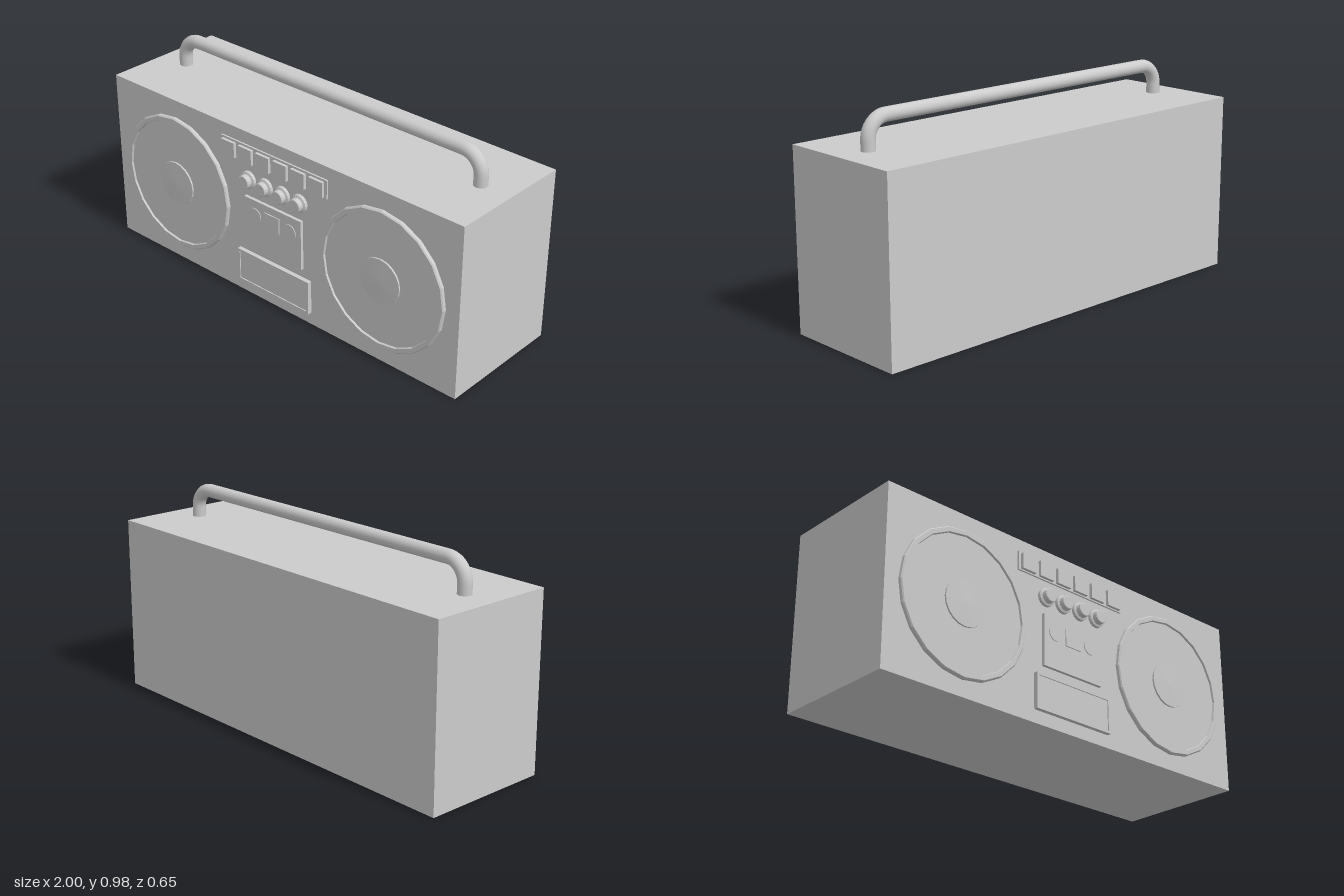
import * as THREE from 'three';

const FRONT = 0.283; // z of the cabinet's front face

export function createModel() {
  const model = new THREE.Group();
  const smooth = new THREE.MeshStandardMaterial({ color: 0xcccccc });
  const flat = new THREE.MeshStandardMaterial({ color: 0xcccccc, flatShading: true });

  const add = (name, geometry, x, y, z, material = flat, parent = model) => {
    const mesh = new THREE.Mesh(geometry, material);
    mesh.name = name;
    mesh.position.set(x, y, z);
    parent.add(mesh);
    return mesh;
  };

  // Box whose back is sunk into the cabinet and whose face stands at the given z
  const panel = (name, x, y, w, h, face) => {
    const depth = face - FRONT + 0.01;
    return add(name, new THREE.BoxGeometry(w, h, depth), x, y, face - depth / 2);
  };

  // Shape turned around the z axis from [radius, z] points
  const turned = (points, sides) =>
    new THREE.LatheGeometry(points.map(([r, z]) => new THREE.Vector2(r, -z)), sides)
      .rotateX(-Math.PI / 2);
  const turnedFlat = flat.clone();
  turnedFlat.side = THREE.DoubleSide;

  // Cabinet
  add('cabinet', new THREE.BoxGeometry(2, 0.815, 0.606), 0, 0.4075, -0.02);

  // Carrying handle: a round bar with two bent corners
  const P = (x, y) => new THREE.Vector3(x, y, 0);
  const legX = 0.85, topY = 0.95, bend = 0.09, k = 0.45 * bend;
  const path = new THREE.CurvePath();
  path.add(new THREE.LineCurve3(P(-legX, 0.8), P(-legX, topY - bend)));
  path.add(new THREE.CubicBezierCurve3(
    P(-legX, topY - bend), P(-legX, topY - k), P(-legX + k, topY), P(-legX + bend, topY)));
  path.add(new THREE.LineCurve3(P(-legX + bend, topY), P(legX - bend, topY)));
  path.add(new THREE.CubicBezierCurve3(
    P(legX - bend, topY), P(legX - k, topY), P(legX, topY - k), P(legX, topY - bend)));
  path.add(new THREE.LineCurve3(P(legX, topY - bend), P(legX, 0.8)));
  add('handle', new THREE.TubeGeometry(path, 140, 0.031, 16), 0, 0, -0.018, smooth);

  // Speakers: raised rim, shallow cone and centre cap
  for (const side of [-1, 1]) {
    const speaker = new THREE.Group();
    speaker.name = side > 0 ? 'leftSpeaker' : 'rightSpeaker';
    speaker.position.set(side * 0.603, 0.403, FRONT);
    model.add(speaker);
    add('speakerRim', turned([[0.33, -0.005], [0.33, 0.014], [0.325, 0.019],
      [0.306, 0.019], [0.303, 0.01]], 20), 0, 0, 0, turnedFlat, speaker);
    add('speakerCone', turned([[0.304, 0.01], [0.104, 0.01]], 20), 0, 0, 0, turnedFlat, speaker);
    add('speakerCap', turned([[0.105, 0.008], [0.105, 0.018], [0, 0.02]], 20),
      0, 0, 0, turnedFlat, speaker);
  }

  // Row of push buttons on a backing strip
  panel('buttonStrip', -0.001, 0.711, 0.615, 0.088, 0.291);
  for (let i = 0; i < 6; i++) panel('button', (i - 2.5) * 0.102 - 0.002, 0.709, 0.078, 0.072, 0.305);

  // Control knobs with a wider collar
  for (let i = 0; i < 4; i++) {
    add('knob', turned([[0.042, -0.005], [0.042, 0.014], [0.032, 0.018],
      [0.031, 0.039], [0.028, 0.041], [0, 0.041]], 16), (i - 1.5) * 0.1, 0.587, FRONT, turnedFlat);
  }

  // Cassette door with two reels and a small window
  panel('cassetteDoor', -0.002, 0.385, 0.335, 0.24, 0.298);
  panel('cassetteWindow', -0.003, 0.43, 0.088, 0.08, 0.303);
  for (const x of [-0.105, 0.1]) {
    add('cassetteReel', new THREE.CylinderGeometry(0.037, 0.037, 0.012, 16).rotateX(Math.PI / 2),
      x, 0.43, 0.296);
  }

  // Lower display: frame with an inset plate
  const rect = (shape, w, h) => shape.moveTo(-w, -h).lineTo(w, -h).lineTo(w, h).lineTo(-w, h).closePath();
  const frame = rect(new THREE.Shape(), 0.213, 0.081);
  frame.holes.push(rect(new THREE.Path(), 0.201, 0.07));
  add('displayFrame', new THREE.ExtrudeGeometry(frame, { depth: 0.025, bevelEnabled: false }),
    -0.002, 0.14, 0.278);
  panel('displayPlate', -0.002, 0.14, 0.404, 0.142, 0.298);

  return model;
}
